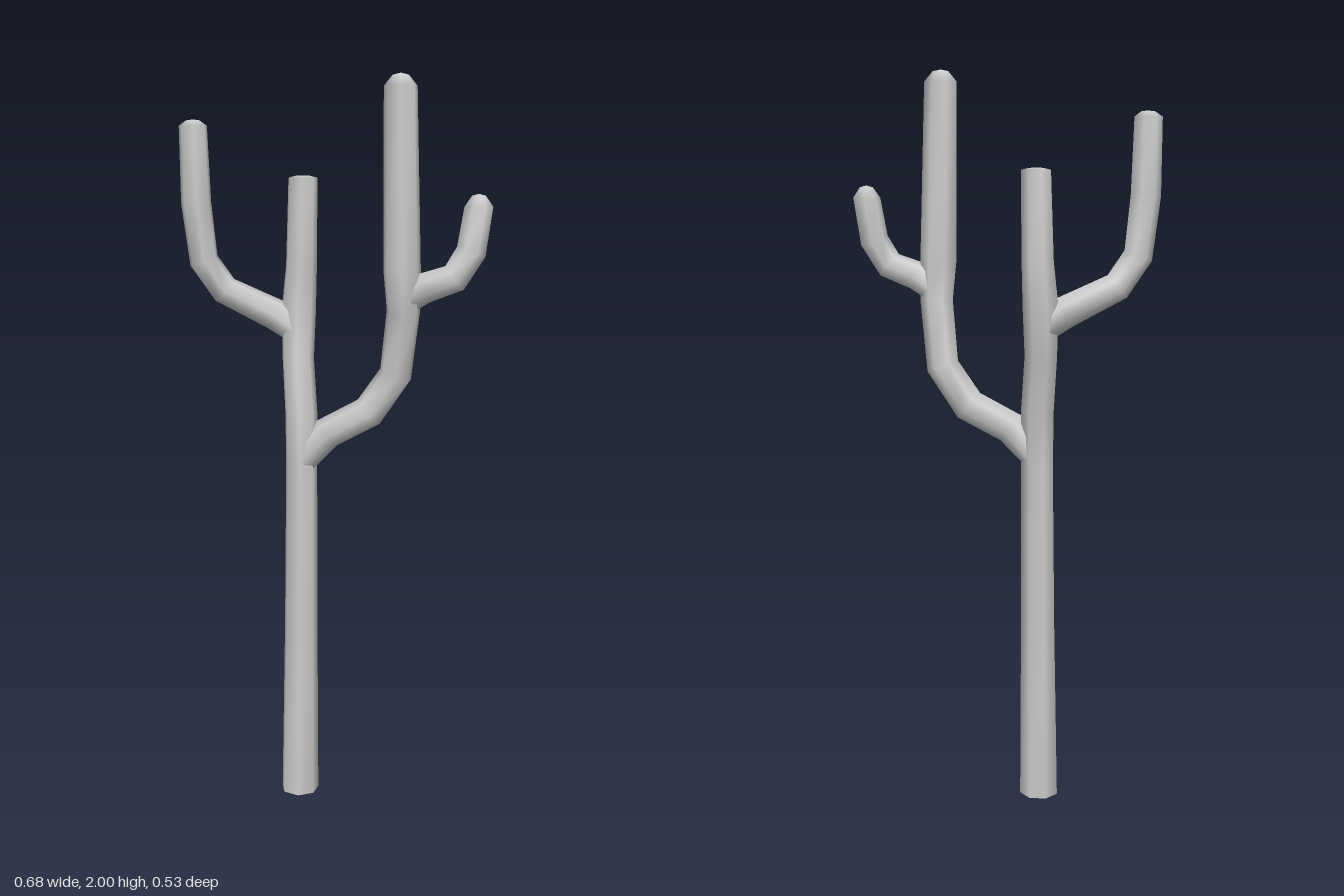
import * as THREE from 'three';

const SIDES = 7;
const material = new THREE.MeshStandardMaterial({ color: 0xcccccc });

// Smooth low-poly limb through [x, y, z, radius] stations, with a rounded tip of the given height
function limb(name, stations, tipHeight, flatBase = false) {
  const centres = stations.map(s => new THREE.Vector3(s[0], s[1], s[2]));
  const last = centres.length - 1;
  const tangents = centres.map((c, i) => {
    const before = c.clone().sub(centres[Math.max(i - 1, 0)]).normalize();
    const after = centres[Math.min(i + 1, last)].clone().sub(c).normalize();
    return before.add(after).normalize();
  });
  if (flatBase) tangents[0].set(0, 1, 0);
  tangents[last].set(0, 1, 0);

  const positions = [], index = [];
  let side = new THREE.Vector3(1, 0, 0.35);
  const addRing = (centre, tangent, radius) => {
    // Carry the side direction along the path so the limb does not twist
    side = side.clone().addScaledVector(tangent, -side.dot(tangent)).normalize();
    const other = new THREE.Vector3().crossVectors(tangent, side);
    for (let k = 0; k < SIDES; k++) {
      const a = (k / SIDES) * Math.PI * 2;
      const p = centre.clone()
        .addScaledVector(side, Math.cos(a) * radius)
        .addScaledVector(other, Math.sin(a) * radius);
      positions.push(p.x, p.y, p.z);
    }
  };
  centres.forEach((c, i) => addRing(c, tangents[i], stations[i][3] * 1.03));

  // Rounded tip: one narrower ring, then the apex
  const top = centres[last];
  const up = new THREE.Vector3(0, 1, 0);
  addRing(top.clone().addScaledVector(up, tipHeight * 0.85), up, stations[last][3] * 0.5);
  const rings = stations.length + 1;
  for (let r = 0; r < rings - 1; r++) {
    for (let k = 0; k < SIDES; k++) {
      const n = (k + 1) % SIDES;
      const a = r * SIDES + k, b = r * SIDES + n;
      index.push(a, b, b + SIDES, a, b + SIDES, a + SIDES);
    }
  }
  const apex = positions.length / 3;
  positions.push(top.x, top.y + tipHeight, top.z);
  for (let k = 0; k < SIDES; k++) {
    index.push((rings - 1) * SIDES + k, (rings - 1) * SIDES + (k + 1) % SIDES, apex);
  }

  // Flat underside with its own corners, so its edge stays sharp
  if (flatBase) {
    const start = positions.length / 3;
    positions.push(...positions.slice(0, SIDES * 3));
    for (let k = 1; k < SIDES - 1; k++) index.push(start, start + k + 1, start + k);
  }

  const geometry = new THREE.BufferGeometry();
  geometry.setAttribute('position', new THREE.Float32BufferAttribute(positions, 3));
  geometry.setIndex(index);
  geometry.computeVertexNormals();
  const mesh = new THREE.Mesh(geometry, material);
  mesh.name = name;
  return mesh;
}

export function createModel() {
  const group = new THREE.Group();
  group.name = 'branchingCactus';

  group.add(
    // Main stem, leaning back above the first fork
    limb('trunk', [
      [-0.085, 0, -0.053, 0.052],
      [-0.078, 0.5, -0.056, 0.046],
      [-0.072, 0.95, -0.06, 0.043],
      [-0.068, 1.1, -0.068, 0.044],
      [-0.062, 1.25, -0.098, 0.043],
      [-0.05, 1.38, -0.118, 0.047],
      [-0.044, 1.5, -0.112, 0.042],
      [-0.042, 1.735, -0.104, 0.039],
    ], 0.006, true),

    // Tall arm that curves out and forward from the first fork
    limb('leftArm', [
      [-0.068, 0.97, -0.055, 0.036],
      [-0.012, 1.05, -0.018, 0.044],
      [0.085, 1.11, 0.04, 0.045],
      [0.143, 1.215, 0.082, 0.044],
      [0.142, 1.39, 0.122, 0.044],
      [0.132, 1.5, 0.13, 0.049],
      [0.125, 1.968, 0.125, 0.043],
    ], 0.032),

    // Short arm growing from the tall arm
    limb('leftUpperArm', [
      [0.135, 1.41, 0.115, 0.036],
      [0.185, 1.455, 0.16, 0.04],
      [0.243, 1.483, 0.213, 0.039],
      [0.282, 1.55, 0.228, 0.039],
      [0.302, 1.665, 0.228, 0.037],
    ], 0.033),

    // Rear arm growing from the upper trunk
    limb('rightArm', [
      [-0.055, 1.32, -0.11, 0.036],
      [-0.11, 1.368, -0.14, 0.043],
      [-0.232, 1.435, -0.2, 0.039],
      [-0.284, 1.515, -0.217, 0.039],
      [-0.301, 1.67, -0.222, 0.04],
      [-0.306, 1.87, -0.221, 0.037],
    ], 0.016),
  );
  return group;
}
